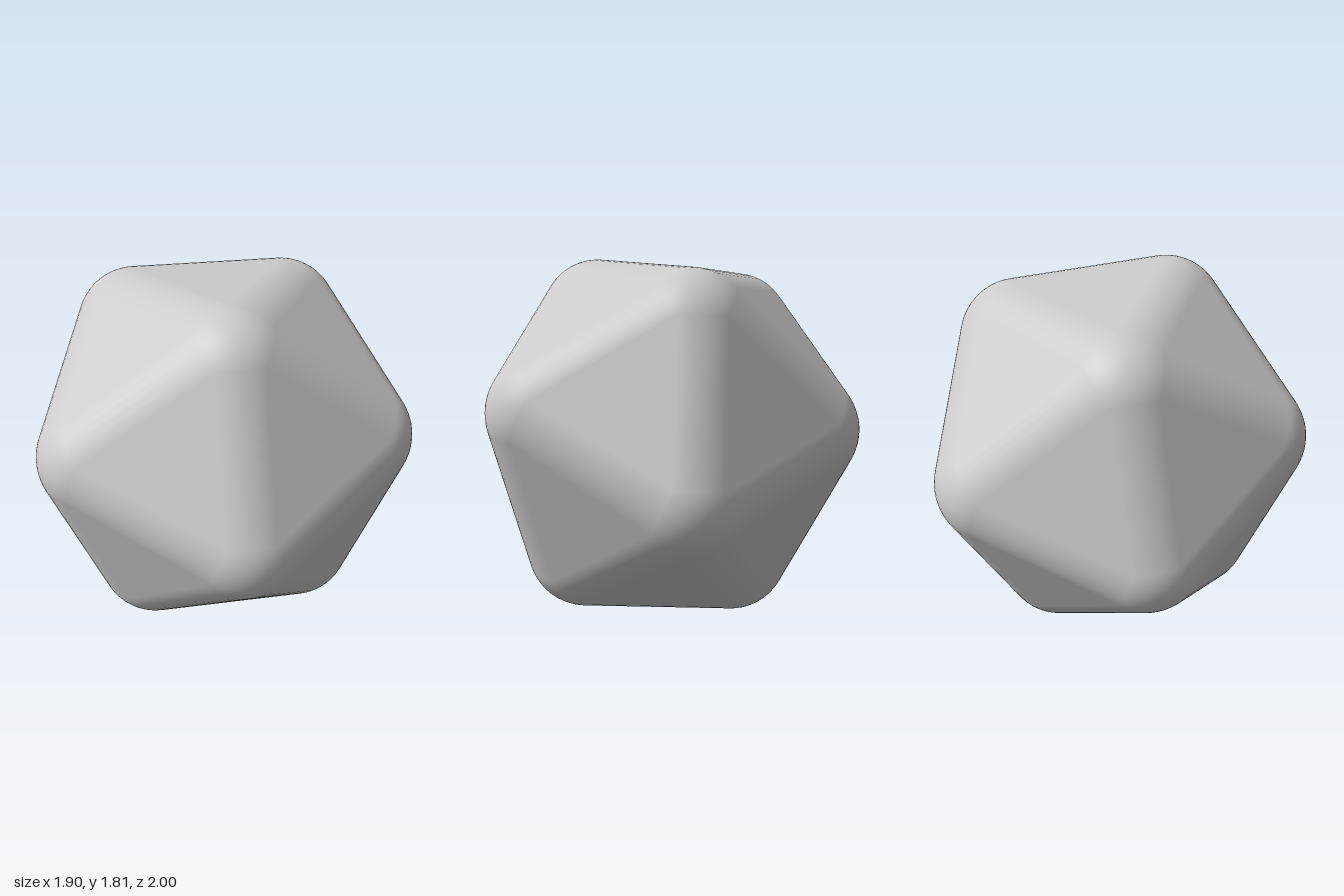
import * as THREE from 'three';

const CORE = 0.3749;   // half edge of the core icosahedron
const RADIUS = 0.3;    // rounding radius of edges and corners
const STEPS = 6;       // segments across each bevel

export function createModel() {
  // Tilted axes of the solid
  const axes = [
    new THREE.Vector3(0.806, 0.586, -0.075),
    new THREE.Vector3(-0.405, 0.639, 0.655),
    new THREE.Vector3(0.431, -0.497, 0.752),
  ];
  const phi = (1 + Math.sqrt(5)) / 2;

  // Twelve core corners from three golden rectangles
  const corners = [];
  for (let i = 0; i < 3; i++)
    for (const s of [1, -1])
      for (const t of [1, -1])
        corners.push(new THREE.Vector3()
          .addScaledVector(axes[i], s * CORE)
          .addScaledVector(axes[(i + 1) % 3], t * phi * CORE));

  const positions = [], normals = [];
  const point = (core, n) => ({ n, p: core.clone().addScaledVector(n, RADIUS) });
  const mid = (...vs) => vs.reduce((sum, v) => sum.add(v), new THREE.Vector3()).normalize();

  // Add a triangle, turned to face outwards
  const tri = (a, b, c) => {
    const facing = b.p.clone().sub(a.p).cross(c.p.clone().sub(a.p));
    const order = facing.dot(mid(a.n, b.n, c.n)) > 0 ? [a, b, c] : [a, c, b];
    for (const v of order) {
      positions.push(...v.p.toArray());
      normals.push(...v.n.toArray());
    }
  };

  // Spherical patch around one corner between three directions
  const cornerPatch = (core, d0, d1, d2) => {
    const at = (i, j) => point(core, new THREE.Vector3()
      .addScaledVector(d0, STEPS - i - j)
      .addScaledVector(d1, i)
      .addScaledVector(d2, j).normalize());
    for (let i = 0; i < STEPS; i++)
      for (let j = 0; j < STEPS - i; j++) {
        tri(at(i, j), at(i + 1, j), at(i, j + 1));
        if (i + j < STEPS - 1) tri(at(i + 1, j), at(i + 1, j + 1), at(i, j + 1));
      }
  };

  // Cylindrical strip along one edge
  const edgeStrip = (v, w, f, g) => {
    for (let i = 0; i < STEPS; i++) {
      const n0 = f.clone().lerp(g, i / STEPS).normalize();
      const n1 = f.clone().lerp(g, (i + 1) / STEPS).normalize();
      tri(point(v, n0), point(w, n0), point(w, n1));
      tri(point(v, n0), point(w, n1), point(v, n1));
    }
  };

  const near = (a, b) => a !== b && a.distanceTo(b) < 2.3 * CORE;
  corners.forEach((v, i) => corners.forEach((w, j) => {
    if (j <= i || !near(v, w)) return;
    const shared = corners.filter((c) => near(c, v) && near(c, w));
    const [f, g] = shared.map((c) => mid(v, w, c));
    edgeStrip(v, w, f, g);
    for (const c of [v, w]) cornerPatch(c, c.clone().normalize(), f, g);
    // Flat faces, each made once
    for (const c of shared)
      if (corners.indexOf(c) > j) {
        const n = mid(v, w, c);
        tri(point(v, n), point(w, n), point(c, n));
      }
  }));

  const geometry = new THREE.BufferGeometry();
  geometry.setAttribute('position', new THREE.Float32BufferAttribute(positions, 3));
  geometry.setAttribute('normal', new THREE.Float32BufferAttribute(normals, 3));
  geometry.computeBoundingBox();

  const solid = new THREE.Mesh(geometry, new THREE.MeshStandardMaterial({ color: 0xcccccc }));
  solid.name = 'roundedIcosahedron';
  solid.position.y = -geometry.boundingBox.min.y;

  const group = new THREE.Group();
  group.name = 'roundedTwentySidedSolid';
  group.add(solid);
  return group;
}
